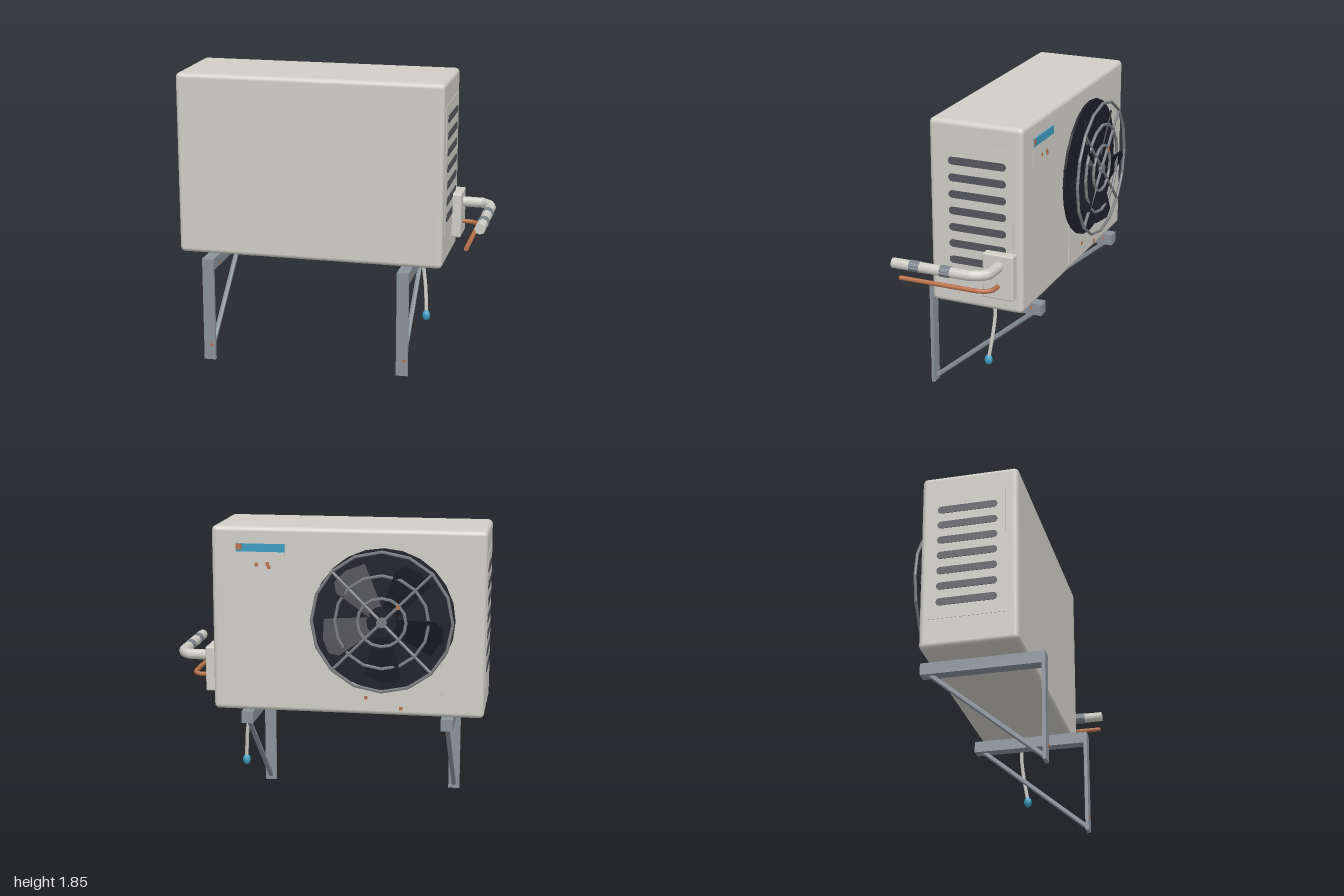
import * as THREE from 'three';
import { RoundedBoxGeometry } from 'three/addons/geometries/RoundedBoxGeometry.js';

const mat = (name, color, flat = false) => {
  const m = new THREE.MeshStandardMaterial({ color, flatShading: flat });
  m.name = name;
  return m;
};

export function createModel() {
  const casing = mat('casing grey', 0xd0cec7);
  const steel = mat('bracket steel', 0x8b929b, true);
  const wire = mat('grille grey', 0x7a7d80, true);
  const dark = mat('fan black', 0x1d1e28, true);
  const slot = mat('vent grey', 0x56565e);
  const copper = mat('copper', 0xb9714a);
  const blue = mat('blue', 0x3d9cc2);
  const strap = mat('strap grey', 0x7e848c, true);

  const model = new THREE.Group();
  const add = (name, geometry, material, x = 0, y = 0, z = 0, parent = model) => {
    const mesh = new THREE.Mesh(geometry, material);
    mesh.name = name;
    mesh.position.set(x, y, z);
    parent.add(mesh);
    return mesh;
  };
  const group = (name, x = 0, y = 0, z = 0) => {
    const g = new THREE.Group();
    g.name = name;
    g.position.set(x, y, z);
    model.add(g);
    return g;
  };
  const box = (w, h, d) => new THREE.BoxGeometry(w, h, d);
  const V = (x, y, z) => new THREE.Vector3(x, y, z);

  // Casing
  add('casing', new RoundedBoxGeometry(1.71, 1.17, 0.605, 3, 0.03), casing, -0.14, 1.265, -0.008);

  // Side vent panels with rounded slots
  const capsule = new THREE.Shape();
  capsule.absarc(0.163, 0, 0.024, -Math.PI / 2, Math.PI / 2);
  capsule.absarc(-0.163, 0, 0.024, Math.PI / 2, Math.PI * 1.5);
  const slotGeo = new THREE.ExtrudeGeometry(capsule, { depth: 0.004, bevelEnabled: false, curveSegments: 6 });
  for (const [side, x] of [[1, 0.715], [-1, -0.995]]) {
    const vent = group(side > 0 ? 'leftVent' : 'rightVent', x, 0, -0.02);
    add('ventPanel', box(0.006, 0.84, 0.47), casing, 0, 1.285, 0, vent);
    for (let i = 0; i < 7; i++) {
      add('ventSlot', slotGeo, slot, side * 0.002, 1.605 - i * 0.105, 0, vent).rotation.y = side * Math.PI / 2;
    }
  }

  // Service panel and label on the fan side
  add('servicePanel', box(0.70, 0.32, 0.008), casing, -0.38, 0.89, -0.311);
  add('labelPlate', box(0.31, 0.165, 0.006), casing, 0.405, 1.66, -0.312);
  add('labelBand', box(0.31, 0.05, 0.006), blue, 0.405, 1.72, -0.314);
  add('labelPatch', box(0.035, 0.035, 0.003), copper, 0.54, 1.725, -0.3175);

  // Small rust marks
  const rust = [[0.43, 1.615, -0.316], [0.36, 1.62, -0.316], [0.35, 1.6, -0.316],
    [-0.26, 0.79, -0.316], [-0.48, 0.73, -0.316]];
  for (const [x, y, z] of rust) add('rustSpot', box(0.022, 0.022, 0.004), copper, x, y, z);

  // Fan: back disc, hub and five pitched blades
  const fan = group('fan', -0.365, 1.29, 0);
  const disc = (r, d, n) => new THREE.CylinderGeometry(r, r, d, n).rotateX(Math.PI / 2);
  add('fanDisc', disc(0.445, 0.016, 24), dark, 0, 0, -0.319, fan);
  add('fanHub', disc(0.095, 0.07, 16), dark, 0, 0, -0.36, fan);
  const bladeShape = new THREE.Shape([
    [-0.05, 0.07], [0.05, 0.07], [0.13, 0.31], [0.1, 0.37], [0, 0.385], [-0.12, 0.35],
  ].map(([x, y]) => new THREE.Vector2(x, y)));
  const bladeGeo = new THREE.ExtrudeGeometry(bladeShape, { depth: 0.01, bevelEnabled: false })
    .translate(0, 0, -0.005).rotateY(0.38);
  for (let i = 0; i < 5; i++) {
    add('fanBlade', bladeGeo, dark, 0, 0, -0.375, fan).rotation.z = Math.PI + (i * Math.PI * 2) / 5;
  }

  // Wire guard: three rings, crossed spokes and a centre cap
  const guard = group('fanGuard', -0.365, 1.29, -0.405);
  for (const r of [0.435, 0.29, 0.15]) {
    add('guardRing', new THREE.TorusGeometry(r, 0.01, 6, 16), wire, 0, 0, 0, guard);
  }
  for (const a of [1, -1]) {
    add('guardSpoke', new THREE.CylinderGeometry(0.01, 0.01, 0.87, 6), wire, 0, 0, 0, guard).rotation.z = a * Math.PI / 4;
  }
  add('guardCap', disc(0.033, 0.024, 8), wire, 0, 0, -0.002, guard);
  add('rustSpot', box(0.02, 0.03, 0.004), copper, -0.1, 0.1, -0.01, guard);

  // Valve box
  add('valveBox', new RoundedBoxGeometry(0.065, 0.288, 0.2, 2, 0.01), casing, 0.743, 0.929, -0.175);

  // Pipes made of straight runs with mitred corners, closed at the free end
  const pipe = (name, pts, r, sides, material) => {
    const path = new THREE.CurvePath();
    for (let i = 1; i < pts.length; i++) path.add(new THREE.LineCurve3(pts[i - 1], pts[i]));
    add(name, new THREE.TubeGeometry(path, 40, r, sides, false), material);
    const end = pts[pts.length - 1];
    const dir = end.clone().sub(pts[pts.length - 2]).normalize();
    add(name + 'End', new THREE.CircleGeometry(r, sides), material, end.x, end.y, end.z)
      .quaternion.setFromUnitVectors(V(0, 0, 1), dir);
  };
  pipe('insulatedPipe', [V(0.75, 1, -0.182), V(0.905, 1, -0.175), V(0.945, 1, -0.135),
    V(0.965, 1, -0.08), V(0.965, 1, 0.425)], 0.034, 8, casing);
  pipe('copperPipe', [V(0.75, 0.87, -0.178), V(0.84, 0.87, -0.17), V(0.872, 0.87, -0.14),
    V(0.884, 0.87, -0.09), V(0.884, 0.87, 0.425)], 0.015, 8, copper);
  for (const z of [0.275, 0.073]) add('pipeStrap', disc(0.036, 0.066, 10), strap, 0.964, 1, z);

  // Drain hose with a water drop
  const hose = new THREE.CatmullRomCurve3([V(0.54, 0.7, -0.042), V(0.545, 0.57, -0.053),
    V(0.56, 0.45, -0.045), V(0.572, 0.28, -0.02)]);
  add('drainHose', new THREE.TubeGeometry(hose, 12, 0.012, 8), casing);
  add('waterDrop', new THREE.SphereGeometry(0.026, 12, 10), blue, 0.572, 0.262, -0.018).scale.y = 1.35;

  // Wall brackets: leg, arm and diagonal brace
  const from = V(0, 0.035, 0.385), to = V(0, 0.62, -0.31);
  for (const x of [-0.77, 0.492]) {
    const bracket = group(x < 0 ? 'rightBracket' : 'leftBracket', x);
    add('bracketLeg', box(0.075, 0.68, 0.022), steel, 0, 0.34, 0.398, bracket);
    add('bracketArm', box(0.075, 0.075, 0.764), steel, 0, 0.642, 0.027, bracket);
    const mid = from.clone().add(to).multiplyScalar(0.5);
    add('bracketBrace', new THREE.CylinderGeometry(0.016, 0.016, from.distanceTo(to), 6), steel, 0, mid.y, mid.z, bracket)
      .quaternion.setFromUnitVectors(V(0, 1, 0), to.clone().sub(from).normalize());
    add('rustSpot', box(0.022, 0.018, 0.003), copper, 0.015, 0.1, 0.41, bracket);
    add('rustSpot', box(0.003, 0.025, 0.012), copper, 0.038, 0.625, 0.29, bracket);
    add('rustSpot', box(0.003, 0.018, 0.012), copper, 0.038, 0.65, -0.29, bracket);
  }
  return model;
}
